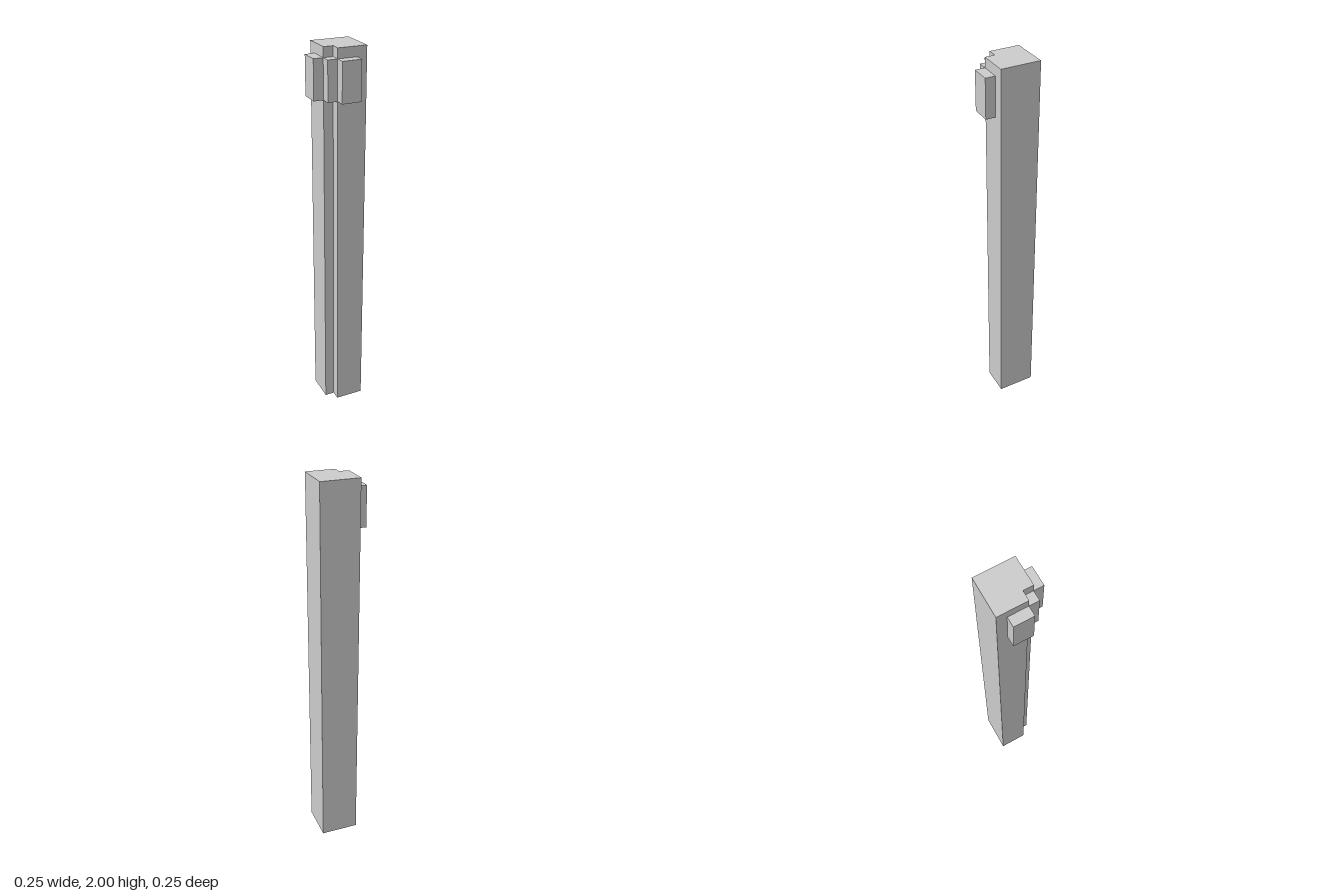
import * as THREE from 'three';

const material = new THREE.MeshStandardMaterial({ color: 0xcccccc, flatShading: true });

export function createModel() {
  const model = new THREE.Group();
  model.name = 'post';

  // Square post with a notch running up its front right corner
  const section = new THREE.Shape(
    [[-0.075, 0.125], [-0.075, -0.025], [-0.025, -0.025], [-0.025, -0.075], [0.125, -0.075], [0.125, 0.125]]
      .map(([x, y]) => new THREE.Vector2(x, y))
  );
  const shaftGeometry = new THREE.ExtrudeGeometry(section, { depth: 2, bevelEnabled: false });
  shaftGeometry.rotateX(-Math.PI / 2);
  const shaft = new THREE.Mesh(shaftGeometry, material);
  shaft.name = 'shaft';
  model.add(shaft);

  // Three blocks stepping round the notched corner near the top
  const addBlock = (name, width, depth, x, z) => {
    const block = new THREE.Mesh(new THREE.BoxGeometry(width, 0.2, depth), material);
    block.name = name;
    block.position.set(x, 1.85, z);
    model.add(block);
  };
  addBlock('frontBlock', 0.1, 0.05, 0.025, 0.1);
  addBlock('cornerBlock', 0.05, 0.05, -0.05, 0.05);
  addBlock('rightBlock', 0.05, 0.1, -0.1, -0.025);

  return model;
}
